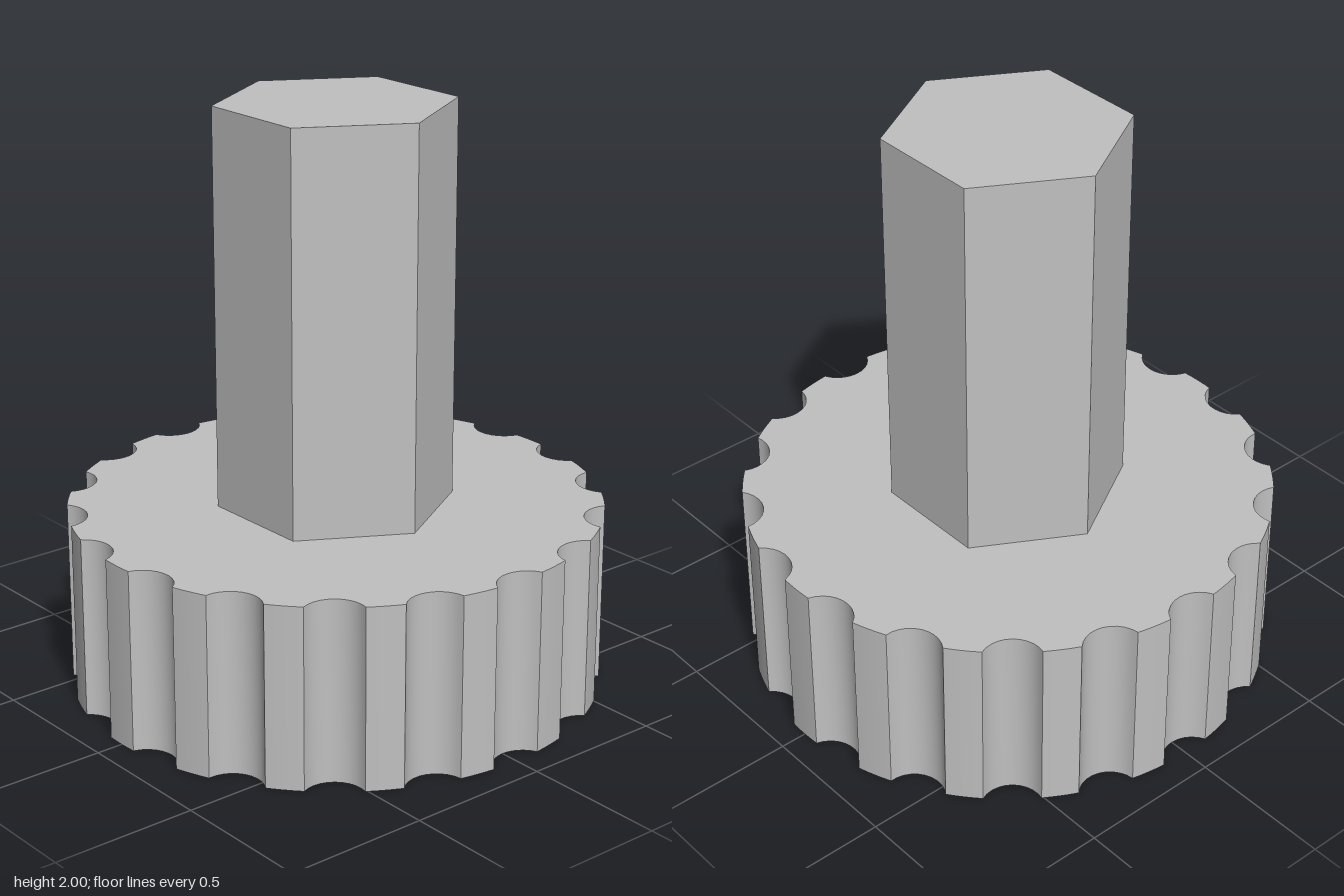
import * as THREE from 'three';
import { toCreasedNormals } from 'three/addons/utils/BufferGeometryUtils.js';

const RIM = 0.907;          // outer radius of the grip
const HEIGHT = 0.63;        // grip height
const NOTCHES = 18;
const NOTCH_RADIUS = 0.105;
const NOTCH_CENTRE = 0.945; // distance of each notch centre from the axis
const SLOT_DEPTH = 0.06;

// Round outline with evenly spaced scalloped notches
function gripShape() {
  const shape = new THREE.Shape();
  const step = (Math.PI * 2) / NOTCHES;
  const cosHalf = (RIM ** 2 + NOTCH_CENTRE ** 2 - NOTCH_RADIUS ** 2) / (2 * RIM * NOTCH_CENTRE);
  const half = Math.acos(cosHalf);
  const sweep = Math.atan2(RIM * Math.sin(half), NOTCH_CENTRE - RIM * cosHalf);
  for (let i = 0; i < NOTCHES; i++) {
    const a = i * step;
    shape.absarc(NOTCH_CENTRE * Math.cos(a), NOTCH_CENTRE * Math.sin(a), NOTCH_RADIUS,
      a + Math.PI + sweep, a + Math.PI - sweep, true);
    shape.absarc(0, 0, RIM, a + half, a + step - half, false);
  }
  return shape;
}

// Narrow slot outline with softened corners
function slotShape(x = 0.053, z0 = 0.27, z1 = 0.76, r = 0.025) {
  const shape = new THREE.Shape();
  shape.absarc(x - r, z0 + r, r, -Math.PI / 2, 0, false);
  shape.absarc(x - r, z1 - r, r, 0, Math.PI / 2, false);
  shape.absarc(-x + r, z1 - r, r, Math.PI / 2, Math.PI, false);
  shape.absarc(-x + r, z0 + r, r, Math.PI, Math.PI * 1.5, false);
  shape.closePath();
  return shape;
}

// Extrusion standing on y = 0 with its lower lid left open
function openExtrusion(shape, height) {
  const solid = new THREE.ExtrudeGeometry(shape, { depth: height, bevelEnabled: false, curveSegments: 5 });
  const lids = solid.groups[0].count;
  const pos = solid.attributes.position.array;
  const kept = [...pos.slice(0, (lids / 2) * 3), ...pos.slice(lids * 3)];
  const geo = new THREE.BufferGeometry();
  geo.setAttribute('position', new THREE.Float32BufferAttribute(kept, 3));
  geo.rotateX(Math.PI / 2).translate(0, height, 0);
  return toCreasedNormals(geo, 0.6);
}

export function createModel() {
  const group = new THREE.Group();
  const grey = new THREE.MeshStandardMaterial({ color: 0xc0c0c0, side: THREE.DoubleSide });
  grey.name = 'plain grey';
  const add = (name, geometry) => {
    const mesh = new THREE.Mesh(geometry, grey);
    mesh.name = name;
    group.add(mesh);
  };

  // Scalloped grip: top and sides
  add('grip', openExtrusion(gripShape(), HEIGHT));

  // Underside, pierced by the marker slot
  const underside = gripShape();
  underside.holes.push(slotShape());
  add('underside', new THREE.ShapeGeometry(underside, 5).rotateX(Math.PI / 2));

  // Walls and floor of the recessed slot
  add('markerSlot', openExtrusion(slotShape(), SLOT_DEPTH));

  // Hexagonal stem with corners on the x axis
  const stemHeight = 2 - HEIGHT;
  const stem = new THREE.CylinderGeometry(0.403, 0.403, stemHeight, 6, 1, false, Math.PI / 2).toNonIndexed();
  stem.computeVertexNormals();
  add('stem', stem.translate(0, HEIGHT + stemHeight / 2, 0));

  return group;
}
